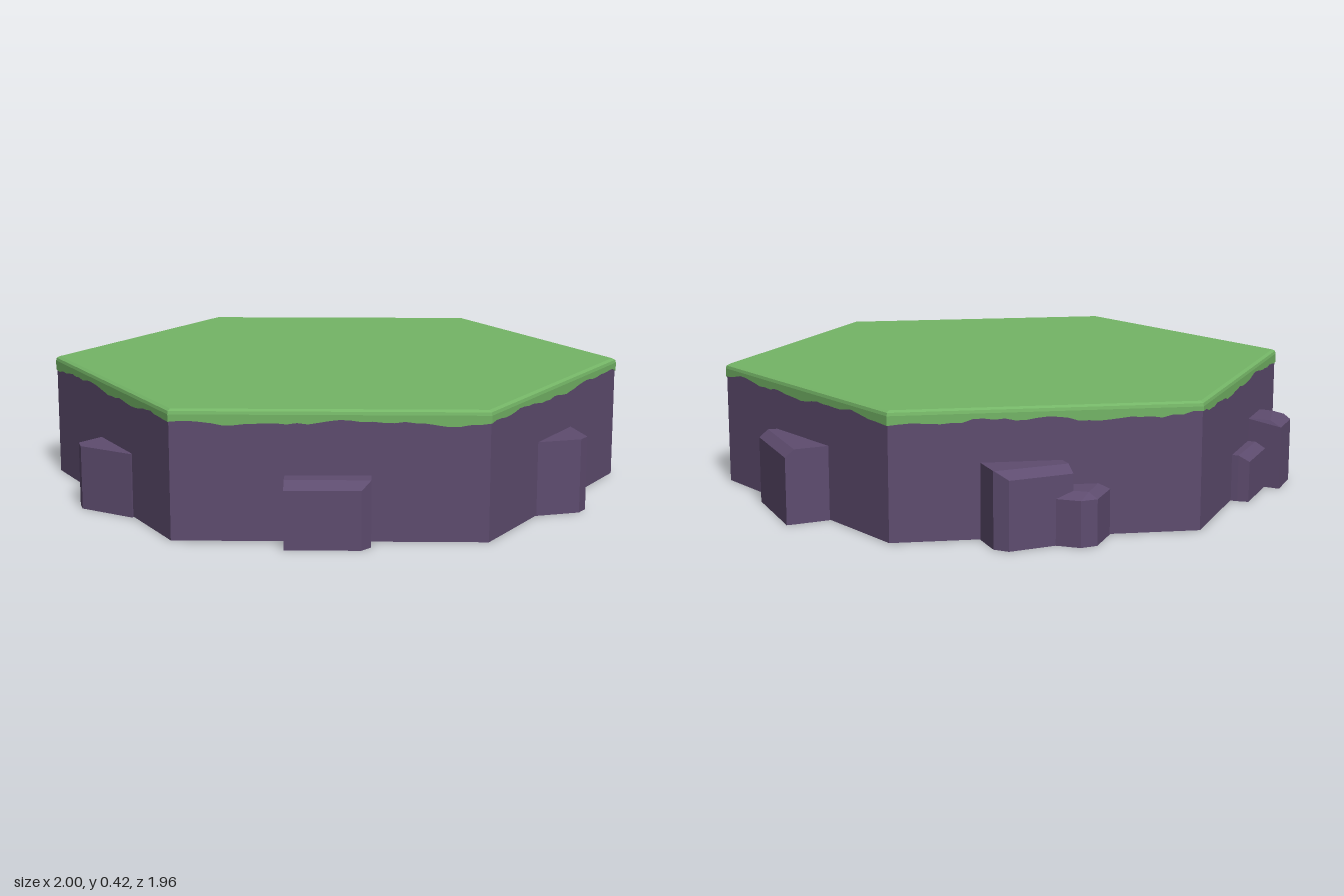
import * as THREE from 'three';
import { ConvexGeometry } from 'three/addons/geometries/ConvexGeometry.js';

const CENTER_Z = 0.022;

export function createModel() {
  const model = new THREE.Group();
  const make = (color, name) => {
    const m = new THREE.MeshStandardMaterial({ color });
    m.name = name;
    return m;
  };
  const stone = make(0x5e4c6f, 'purple stone');
  const grass = make(0x74b566, 'grass green');
  const under = make(0x040404, 'dark underside');

  const add = (name, geometry, material) => {
    const mesh = new THREE.Mesh(geometry, material);
    mesh.name = name;
    model.add(mesh);
    return mesh;
  };

  // Hexagonal stone base, corners on the x axis
  const base = new THREE.CylinderGeometry(0.996, 0.996, 0.398, 6).toNonIndexed();
  base.rotateY(Math.PI / 2);
  base.computeVertexNormals();
  add('stoneBase', base, [stone, stone, under]).position.set(0, 0.201, CENTER_Z);

  // Grass cap: flat top, small bevel and a skirt with a ragged lower edge
  let seed = 7;
  const random = () => (seed = (seed * 16807) % 2147483647) / 2147483647;
  const perSide = 30, count = perSide * 6;
  const corner = k => [Math.cos(k * Math.PI / 3), Math.sin(k * Math.PI / 3)];
  const columns = [];
  for (let i = 0; i < count; i++) {
    const k = Math.floor(i / perSide), t = (i % perSide) / perSide;
    const [ax, az] = corner(k), [bx, bz] = corner(k + 1);
    const x = ax + (bx - ax) * t, z = az + (bz - az) * t;
    const ragged = 0.383 + 0.006 * Math.sin(i * 0.33) + 0.004 * Math.sin(i * 0.9) + 0.007 * (random() - 0.5);
    // Radius and height of each ring, from the centre of the top outwards
    const rings = [[0, 0.424], [0.985, 0.424], [0.997, 0.418], [1, 0.408], [1, ragged], [0.99, ragged]];
    columns.push(rings.map(([r, y]) => [x * r, y, z * r]));
  }
  const positions = [];
  columns.forEach((a, i) => {
    const b = columns[(i + 1) % count];
    for (let j = 0; j < a.length - 1; j++) {
      if (j > 0) positions.push(...a[j], ...b[j], ...b[j + 1]);
      positions.push(...a[j], ...b[j + 1], ...a[j + 1]);
    }
  });
  const cap = new THREE.BufferGeometry();
  cap.setAttribute('position', new THREE.Float32BufferAttribute(positions, 3));
  cap.computeVertexNormals();
  add('grassCap', cap, grass).position.z = CENTER_Z;

  // Rocks: each top point [x, y, z] is dropped straight to the ground
  const rock = (name, top) => {
    const points = top.flatMap(([x, y, z]) => [new THREE.Vector3(x, y, z), new THREE.Vector3(x, 0, z)]);
    add(name, new ConvexGeometry(points), stone);
  };
  rock('frontRock', [
    [-0.14, 0.215, 0.82], [0.13, 0.215, 0.82], [0.13, 0.215, 0.94],
    [0.10, 0.19, 0.975], [-0.14, 0.19, 0.975], [-0.14, 0.215, 0.94]]);
  rock('frontRightRock', [
    [-0.75, 0.215, 0.34], [-0.85, 0.215, 0.47], [-0.835, 0.215, 0.52],
    [-0.655, 0.215, 0.625], [-0.60, 0.215, 0.52]]);
  rock('frontLeftRock', [
    [0.80, 0.25, 0.33], [0.845, 0.25, 0.495], [0.82, 0.25, 0.535],
    [0.67, 0.25, 0.58], [0.64, 0.25, 0.45]]);
  rock('backLeftRock', [
    [0.62, 0.25, -0.53], [0.78, 0.25, -0.578], [0.86, 0.25, -0.273],
    [0.72, 0.25, -0.25], [0.81, 0.225, -0.585], [0.89, 0.225, -0.28]]);
  rock('backRockTall', [
    [-0.04, 0.25, -0.80], [-0.06, 0.25, -0.89], [0.18, 0.25, -0.952],
    [0.215, 0.25, -0.82], [-0.07, 0.225, -0.92], [0.14, 0.225, -0.98], [0.185, 0.25, -0.95]]);
  rock('backRockLow', [
    [-0.22, 0.15, -0.81], [-0.14, 0.15, -0.957], [-0.085, 0.15, -0.973], [0.0, 0.15, -0.93],
    [-0.18, 0.17, -0.81], [-0.115, 0.17, -0.94], [-0.03, 0.17, -0.90], [0.0, 0.17, -0.82]]);
  rock('backRightRockLow', [
    [-0.66, 0.16, -0.48], [-0.715, 0.16, -0.51], [-0.83, 0.16, -0.32],
    [-0.78, 0.16, -0.29], [-0.75, 0.14, -0.525], [-0.86, 0.14, -0.34]]);
  rock('backRightRockTall', [
    [-0.80, 0.24, -0.29], [-0.875, 0.24, -0.34], [-0.93, 0.24, -0.19], [-0.86, 0.24, -0.14],
    [-0.905, 0.22, -0.372], [-0.978, 0.22, -0.245], [-0.968, 0.23, -0.20], [-0.90, 0.24, -0.165]]);

  return model;
}
